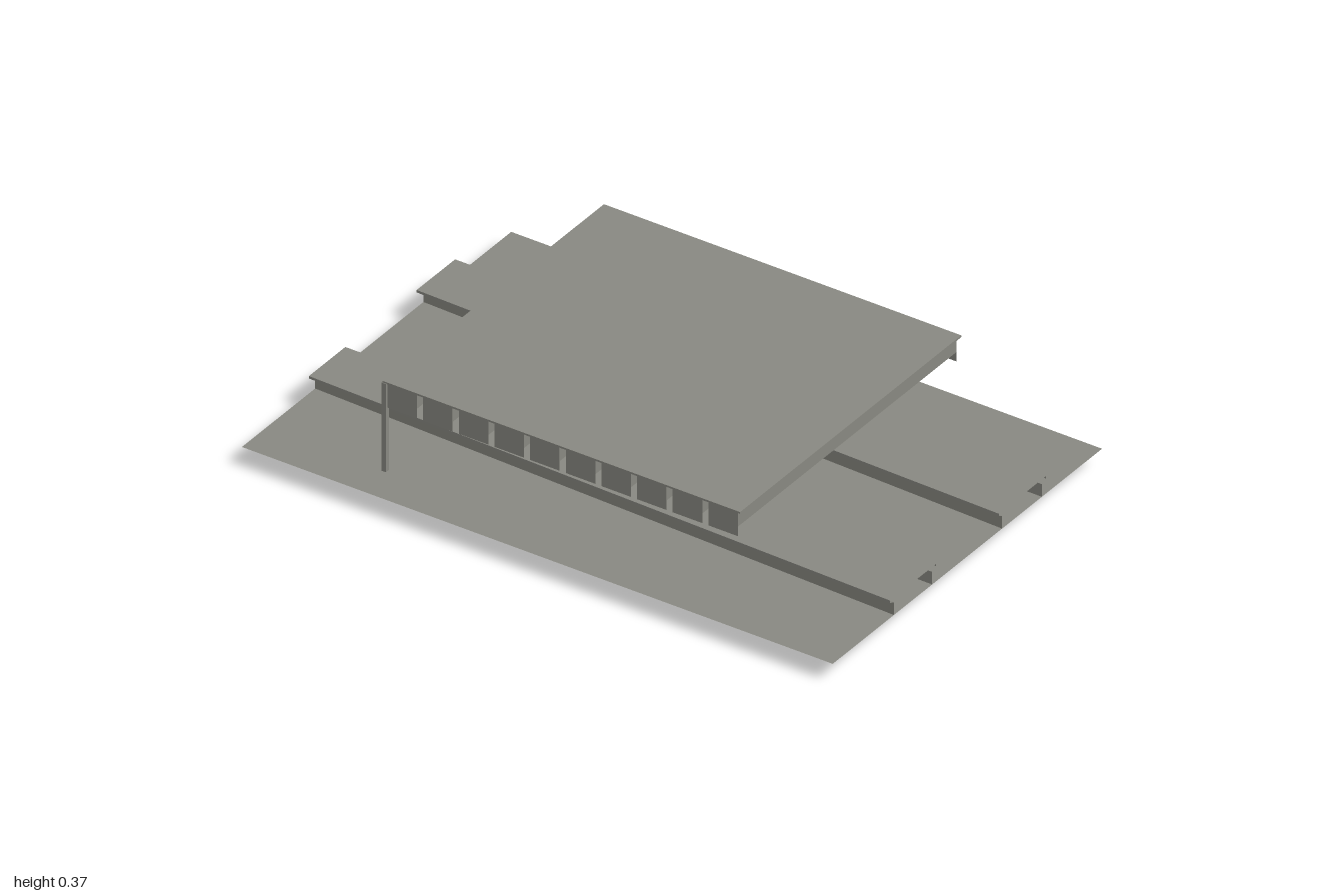
import * as THREE from 'three';

const concrete = new THREE.MeshStandardMaterial({ color: 0x8b8b84, side: THREE.DoubleSide });
concrete.name = 'concrete grey';

const GROUND = 0.073, ROOF = 0.372;

function add(parent, name, geometry, x = 0, y = 0, z = 0) {
  const mesh = new THREE.Mesh(geometry, concrete);
  mesh.name = name;
  mesh.position.set(x, y, z);
  parent.add(mesh);
  return mesh;
}

// Open sheet stretched between two matching [z, y] sections at x = -1 and x = 1
function sheet(sectionA, sectionB) {
  const p = [];
  for (let i = 0; i < sectionA.length - 1; i++) {
    const at = (s, x, k) => [x, s[k][1], s[k][0]];
    const a = at(sectionA, -1, i), b = at(sectionB, 1, i);
    const c = at(sectionB, 1, i + 1), d = at(sectionA, -1, i + 1);
    p.push(...a, ...b, ...c, ...a, ...c, ...d);
  }
  const g = new THREE.BufferGeometry();
  g.setAttribute('position', new THREE.Float32BufferAttribute(p, 3));
  g.computeVertexNormals();
  return g;
}

// Front wall, lip, deck, lip and straight back wall of a platform
function platformSection(wallZ, lipZ, backZ) {
  return [
    [wallZ, GROUND], [wallZ, 0.115], [lipZ, 0.123], [lipZ, 0.131],
    [backZ, 0.131], [backZ, 0.123], [backZ + 0.02, 0.115], [backZ + 0.02, GROUND],
  ];
}

export function createModel() {
  const model = new THREE.Group();
  model.name = 'station';

  // Ground sheet
  add(model, 'ground', new THREE.PlaneGeometry(2, 1.345).rotateX(-Math.PI / 2), 0, GROUND, 0);

  // Two platforms, slightly wider at the +x end
  add(model, 'frontPlatform', sheet(
    platformSection(0.307, 0.338, 0.156), platformSection(0.367, 0.386, 0.156)));
  add(model, 'backPlatform', sheet(
    platformSection(-0.234, -0.2, -0.392), platformSection(-0.173, -0.157, -0.392)));

  // Roof slab
  add(model, 'roof', new THREE.BoxGeometry(1.21, 0.006, 1.105), 0, ROOF - 0.003, 0);

  // Joist pairs under the roof, with a hanging panel at each end of a pair
  const bays = new THREE.Group();
  bays.name = 'roofBays';
  model.add(bays);
  const joist = new THREE.PlaneGeometry(1.09, 0.052).rotateY(Math.PI / 2);
  const panel = new THREE.PlaneGeometry(0.1, 0.084);
  for (let i = 0; i < 10; i++) {
    const x = -0.543 + i * 0.1207;
    for (const s of [-1, 1]) {
      add(bays, 'joist', joist, x + s * 0.05, 0.342, 0);
      const end = add(bays, 'endPanel', panel, x, 0.326, s * 0.546);
      if (s < 0) end.rotation.y = Math.PI;
    }
  }

  // Row of columns on stepped footings along the -x side
  for (const z of [0.547, 0.257, 0.008, -0.28, -0.545]) {
    const support = new THREE.Group();
    support.name = 'support';
    support.position.set(-0.6, 0, z);
    model.add(support);
    add(support, 'footing', new THREE.BoxGeometry(0.047, 0.038, 0.047), 0, 0.019, 0);
    add(support, 'footingCap', new THREE.BoxGeometry(0.036, 0.012, 0.036), 0, 0.044, 0);
    add(support, 'column', new THREE.BoxGeometry(0.015, 0.317, 0.015), 0, 0.2085, 0);
  }
  return model;
}
